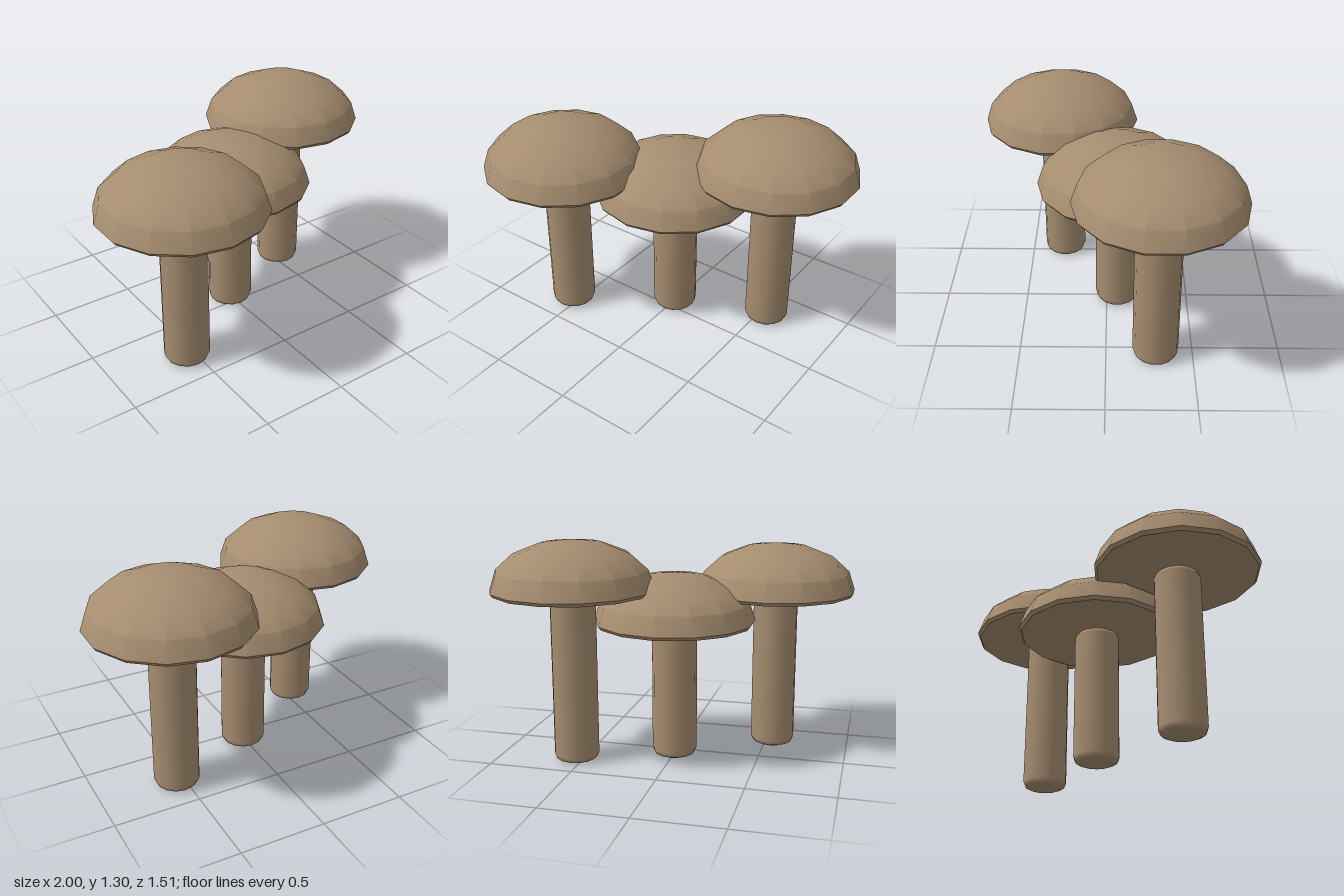
import * as THREE from 'three';
import { toCreasedNormals } from 'three/addons/utils/BufferGeometryUtils.js';

const SIDES = 14;
const CAP_RADIUS = 0.47;
const STEM_RADIUS = 0.132;

function lathe(points) {
  return new THREE.LatheGeometry(points.map(([r, y]) => new THREE.Vector2(r, y)), SIDES);
}

// Flattened dome with a thin bevelled rim and a flat underside
function capGeometry() {
  const points = [[0, 0], [CAP_RADIUS - 0.015, 0]];
  for (let i = 0; i <= 4; i++) {
    const a = (i / 4) * Math.PI / 2;
    points.push([i === 4 ? 0 : CAP_RADIUS * Math.cos(a), 0.02 + 0.28 * Math.sin(a)]);
  }
  return toCreasedNormals(lathe(points), 0.62);
}

// Straight post with softly rounded ends
function stemGeometry(height) {
  const end = [[0, 0], [0.093, 0], [0.12, 0.012], [STEM_RADIUS, 0.04]];
  const top = end.map(([r, y]) => [r, height - y]).reverse();
  return lathe([...end, ...top]);
}

export function createModel() {
  const model = new THREE.Group();
  model.name = 'mushroomCluster';

  const brown = new THREE.MeshStandardMaterial({ color: 0xa68d70 });
  brown.name = 'mushroomBrown';
  const capShape = capGeometry();

  // name, x, z, height of the cap's underside
  const mushrooms = [
    ['rightMushroom', -0.542, 0.285, 0.945],
    ['middleMushroom', 0, -0.065, 0.8],
    ['leftMushroom', 0.542, -0.285, 1.0],
  ];
  for (const [name, x, z, height] of mushrooms) {
    const mushroom = new THREE.Group();
    mushroom.name = name;
    mushroom.position.set(x, 0, z);

    const stem = new THREE.Mesh(stemGeometry(height + 0.01), brown);
    stem.name = 'stem';
    const cap = new THREE.Mesh(capShape, brown);
    cap.name = 'cap';
    cap.position.y = height;

    mushroom.add(stem, cap);
    model.add(mushroom);
  }
  return model;
}
